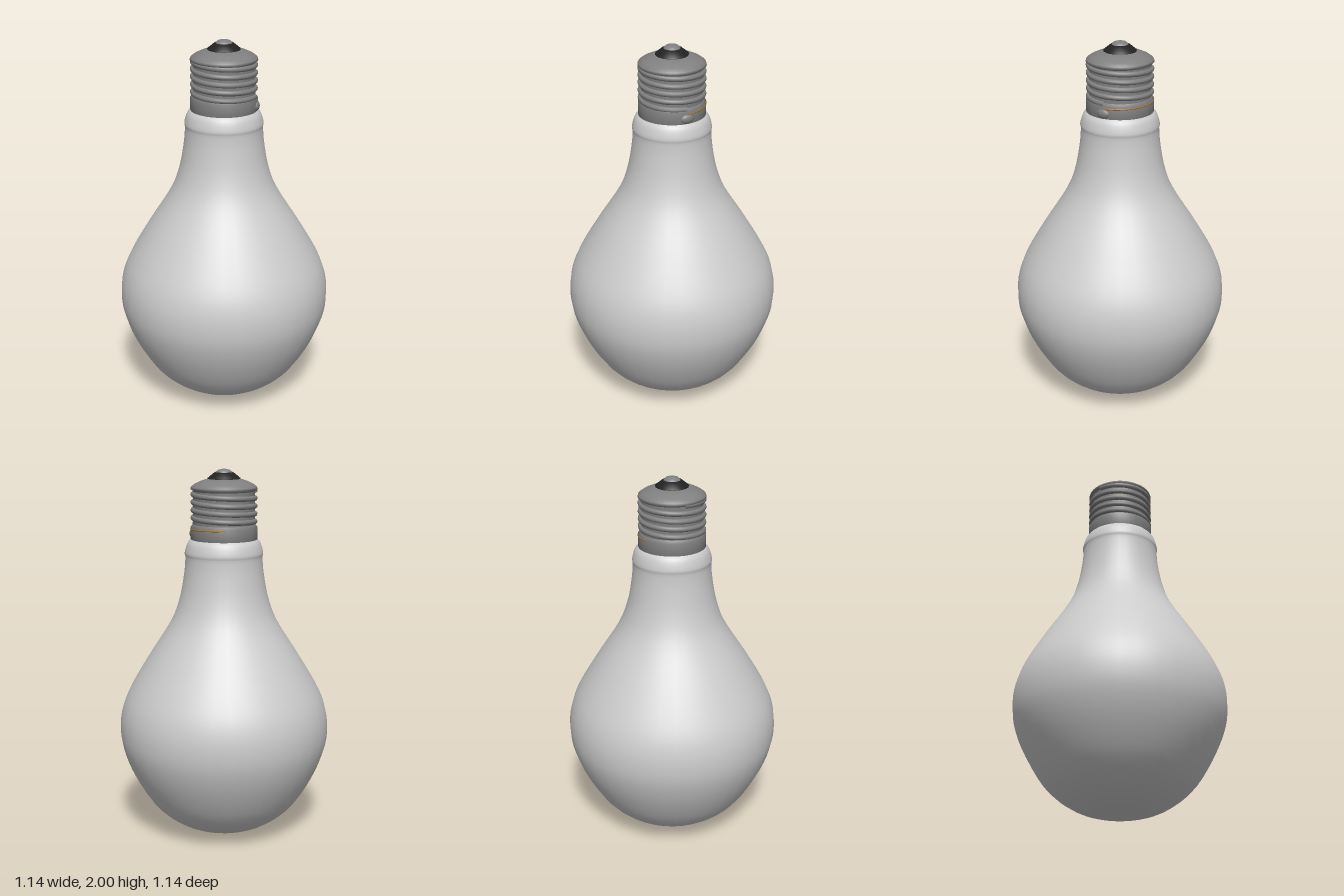
import * as THREE from 'three';

const SIDES = 36;
const v2 = (p) => p.map(([r, y]) => new THREE.Vector2(r, y));
const material = (color) => new THREE.MeshStandardMaterial({ color, side: THREE.DoubleSide });

// Surface of revolution; the profile runs from bottom to top
function turned(name, points, mat) {
  const mesh = new THREE.Mesh(new THREE.LatheGeometry(points, SIDES), mat);
  mesh.name = name;
  return mesh;
}

// Coil around the y axis between two angles and two heights
function coil(name, radius, thickness, a0, a1, y0, y1, steps, mat) {
  const points = [];
  for (let i = 0; i <= steps; i++) {
    const t = i / steps;
    const a = a0 + (a1 - a0) * t;
    points.push(new THREE.Vector3(radius * Math.cos(a), y0 + (y1 - y0) * t, radius * Math.sin(a)));
  }
  const path = new THREE.CatmullRomCurve3(points);
  const mesh = new THREE.Mesh(new THREE.TubeGeometry(path, steps, thickness, 10), mat);
  mesh.name = name;
  return mesh;
}

export function createModel() {
  const model = new THREE.Group();
  model.name = 'lightBulb';
  const glass = material(0xcccccc);
  const metal = material(0x808080);
  const black = material(0x222222);
  const copper = material(0xa87830);

  // Pear-shaped glass with a narrow neck and a small collar
  const outline = new THREE.SplineCurve(v2([
    [0, 0], [0.13, 0.017], [0.26, 0.062], [0.39, 0.165], [0.495, 0.33], [0.555, 0.48],
    [0.57, 0.6], [0.555, 0.71], [0.51, 0.82], [0.41, 0.99], [0.29, 1.18], [0.24, 1.31],
    [0.215, 1.44], [0.207, 1.53], [0.21, 1.56], [0.195, 1.61], [0.172, 1.635],
  ]));
  const glassPoints = outline.getPoints(56);
  glassPoints.forEach((p) => { p.x = Math.max(p.x, 0); });
  model.add(turned('glassBulb', glassPoints, glass));

  // Metal screw cap: skirt, threaded core and domed shoulder
  const cap = new THREE.Group();
  cap.name = 'screwCap';
  cap.add(
    turned('capSkirt', v2([[0.165, 1.625], [0.178, 1.63], [0.178, 1.695], [0.164, 1.71]]), metal),
    turned('threadCore', v2([[0.164, 1.7], [0.164, 1.9]]), metal),
    turned('capShoulder', v2([[0.164, 1.885], [0.178, 1.895], [0.175, 1.907], [0.155, 1.922],
      [0.12, 1.938], [0.08, 1.95], [0, 1.952]]), metal),
    coil('screwThread', 0.164, 0.014, 0, Math.PI * 9, 1.705, 1.89, 180, metal),
  );
  model.add(cap);

  // Insulator cone and centre contact
  model.add(turned('insulator', v2([[0.085, 1.945], [0.087, 1.952], [0.05, 1.982], [0, 1.982]]), black));
  model.add(turned('centreContact', v2([[0.045, 1.975], [0.044, 1.984], [0.033, 1.994], [0.015, 1.999], [0, 2]]), metal));

  // Solder drop on the skirt, with the fine wire leading from it
  const solder = new THREE.Mesh(new THREE.SphereGeometry(1, 20, 14), metal);
  solder.name = 'solderDrop';
  solder.scale.set(0.018, 0.026, 0.036);
  solder.position.set(0.172, 1.656, 0);
  model.add(solder);
  model.add(coil('sideWire', 0.175, 0.005, 0, -Math.PI * 0.6, 1.682, 1.692, 24, copper));

  return model;
}
